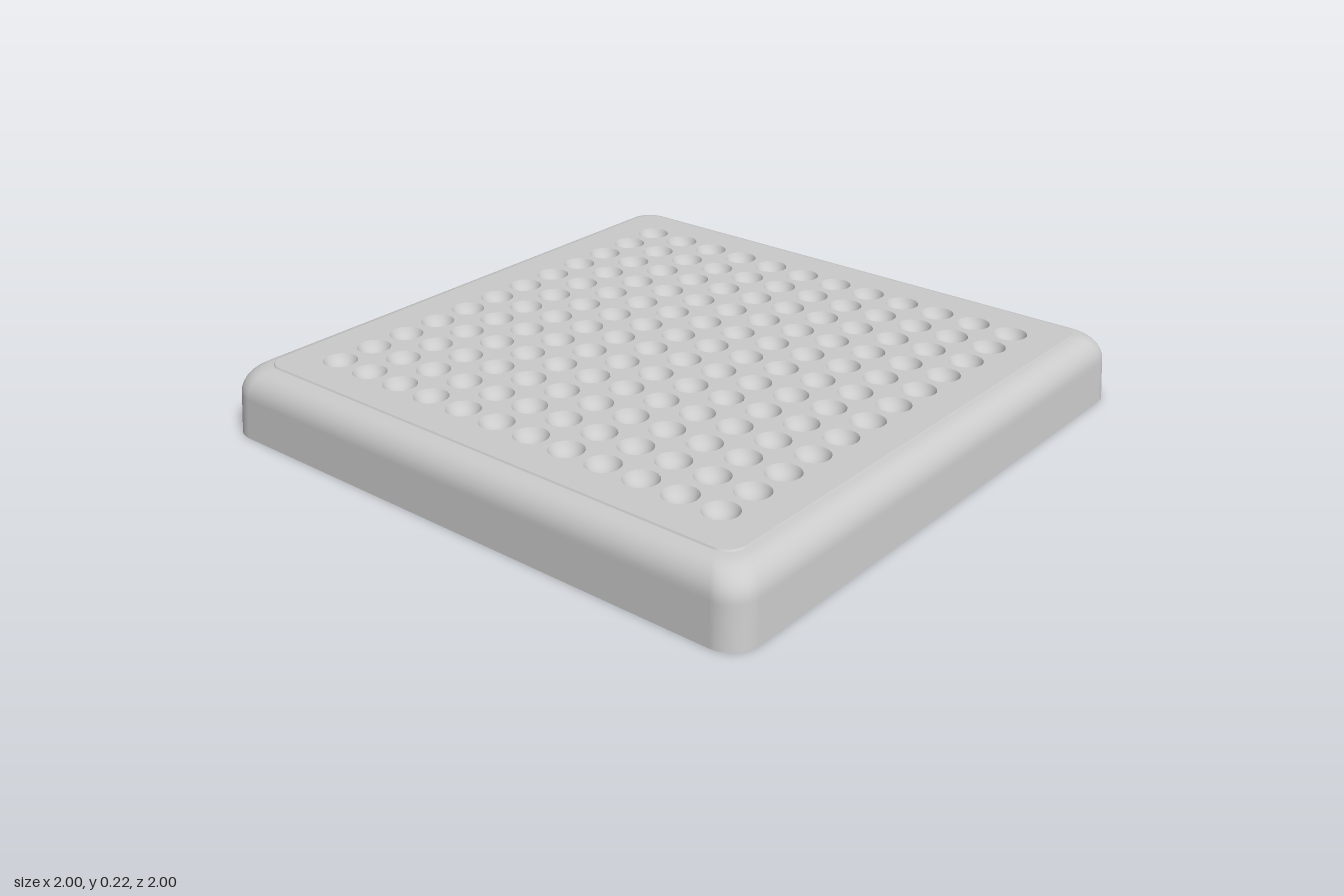
import * as THREE from 'three';

const ROWS = 12, PITCH = 0.136, DIMPLE_R = 0.054, DEPTH = 0.034;
const TOP = 0.224, PANEL = 0.909, THICK = 0.015;
const material = new THREE.MeshStandardMaterial({ color: 0xcccccc });

// Points around a rounded square: half width h, corner radius r
function roundedSquare(h, r, steps = 8) {
  const points = [];
  for (let corner = 0; corner < 4; corner++) {
    const mid = Math.PI / 4 + corner * Math.PI / 2;
    const cx = Math.sign(Math.cos(mid)) * (h - r);
    const cy = Math.sign(Math.sin(mid)) * (h - r);
    for (let i = 0; i <= steps; i++) {
      const a = (corner + i / steps) * Math.PI / 2;
      points.push(new THREE.Vector2(cx + r * Math.cos(a), cy + r * Math.sin(a)));
    }
  }
  return points;
}

// Skin over rounded-square sections, each [half width, corner radius, y]
function loft(sections) {
  const positions = [], index = [];
  let n = 0;
  sections.forEach(([h, r, y], s) => {
    const loop = roundedSquare(h, r);
    n = loop.length;
    loop.forEach((p) => positions.push(p.x, y, p.y));
    if (s === 0) return;
    for (let i = 0; i < n; i++) {
      const a = (s - 1) * n + i, b = (s - 1) * n + (i + 1) % n;
      index.push(a, a + n, b, a + n, b + n, b);
    }
  });
  const geometry = new THREE.BufferGeometry();
  geometry.setAttribute('position', new THREE.Float32BufferAttribute(positions, 3));
  geometry.setIndex(index);
  geometry.computeVertexNormals();
  return geometry;
}

// Wall section: slightly drafted side, then a rounded shoulder
function wallSections(inset, top) {
  const sections = [[1 - inset, 0.09 - inset, 0], [0.992 - inset, 0.088 - inset, 0.13]];
  const end = PANEL - inset;
  for (let i = 1; i <= 8; i++) {
    const a = (i / 8) * Math.PI / 2;
    const h = end + (0.992 - PANEL) * Math.cos(a);
    sections.push([h, 0.06 + 0.028 * Math.cos(a) - inset, 0.13 + (top - 0.13) * Math.sin(a)]);
  }
  return sections;
}

// Spherical-cap profile from the centre outwards
function bowlProfile(radius, depth, y) {
  const R = (radius * radius + depth * depth) / (2 * depth);
  const limit = Math.asin(radius / R);
  return Array.from({ length: 7 }, (_, i) => {
    const a = limit * i / 6;
    return new THREE.Vector2(R * Math.sin(a), y - depth + R * (1 - Math.cos(a)));
  });
}

export function createModel() {
  const group = new THREE.Group();
  const add = (name, geometry, parent = group) => {
    const mesh = new THREE.Mesh(geometry, material);
    mesh.name = name;
    parent.add(mesh);
    return mesh;
  };

  // Hollow tray body
  const rimTop = TOP - 0.005;
  add('outerWall', loft(wallSections(0, rimTop)));
  add('innerWall', loft(wallSections(THICK, TOP - THICK).reverse()));
  add('bottomRim', loft([[1 - THICK, 0.09 - THICK, 0], [1, 0.09, 0]]));
  add('panelStep', loft([[PANEL, 0.06, rimTop], [PANEL - 0.003, 0.06, TOP]]));

  // Top panel with a grid of round openings
  const centres = [];
  for (let i = 0; i < ROWS; i++) {
    for (let j = 0; j < ROWS; j++) {
      centres.push([(i - (ROWS - 1) / 2) * PITCH, (j - (ROWS - 1) / 2) * PITCH]);
    }
  }
  const shape = new THREE.Shape(roundedSquare(PANEL - 0.003, 0.06));
  centres.forEach(([x, z]) => {
    const hole = new THREE.Path();
    hole.absarc(x, -z, DIMPLE_R, 0, Math.PI * 2, true);
    shape.holes.push(hole);
  });
  const panel = new THREE.ExtrudeGeometry(shape, { depth: THICK, bevelEnabled: false, curveSegments: 10 });
  panel.rotateX(-Math.PI / 2).translate(0, TOP - THICK, 0);
  add('topPanel', panel);

  // Dimples: concave face above, rounded bump beneath
  const bowl = new THREE.LatheGeometry(bowlProfile(DIMPLE_R, DEPTH, TOP).reverse(), 20);
  const bump = new THREE.LatheGeometry(bowlProfile(DIMPLE_R + 0.004, DEPTH, TOP - THICK), 20);
  const dimples = new THREE.Group();
  dimples.name = 'dimples';
  group.add(dimples);
  centres.forEach(([x, z]) => {
    add('dimpleBowl', bowl, dimples).position.set(x, 0, z);
    add('dimpleUnderside', bump, dimples).position.set(x, 0, z);
  });
  return group;
}
